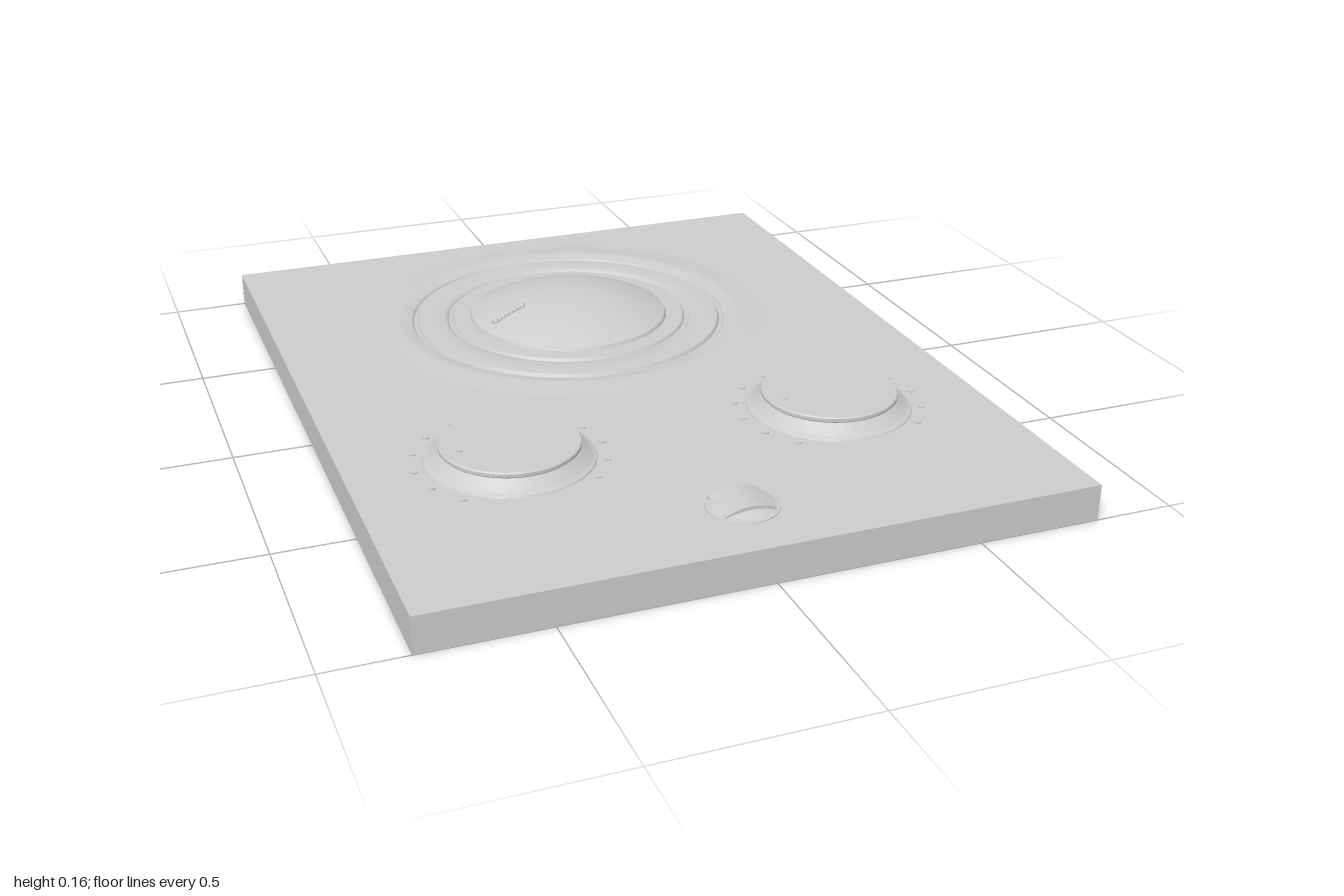
import * as THREE from 'three';
import { toCreasedNormals } from 'three/addons/utils/BufferGeometryUtils.js';

const W = 1.61, L = 2, H = 0.09;      // panel size
const DIAL_Z = -0.385;                // centre of the large dial

export function createModel() {
  const model = new THREE.Group();
  const grey = new THREE.MeshStandardMaterial({ color: 0xcccccc });
  grey.name = 'plainGrey';

  const add = (name, geometry, x = 0, y = 0, z = 0, parent = model) => {
    const mesh = new THREE.Mesh(geometry, grey);
    mesh.name = name;
    mesh.position.set(x, y, z);
    parent.add(mesh);
    return mesh;
  };
  // Profiles run from the outside inwards for surfaces that face up
  const lathe = (points, segments = 64) => toCreasedNormals(
    new THREE.LatheGeometry(points.map(([r, y]) => new THREE.Vector2(r, y)), segments), 0.6);
  const dome = (radius, base, rise, steps = 12) => {
    const R = (radius * radius + rise * rise) / (2 * rise);
    return Array.from({ length: steps + 1 }, (_, i) => {
      const r = radius * (1 - i / steps);
      return [r, base + rise - R + Math.sqrt(R * R - r * r)];
    });
  };

  // Panel: top and bottom sheets with round openings, and four sides
  const sheet = (holeRadius, holeY) => {
    const shape = new THREE.Shape([
      new THREE.Vector2(-W / 2, -L / 2), new THREE.Vector2(W / 2, -L / 2),
      new THREE.Vector2(W / 2, L / 2), new THREE.Vector2(-W / 2, L / 2)]);
    shape.holes.push(new THREE.Path().absarc(0, holeY, holeRadius, 0, Math.PI * 2, true));
    return new THREE.ShapeGeometry(shape, 32);
  };
  add('panelTop', sheet(0.55, -DIAL_Z).rotateX(-Math.PI / 2), 0, H, 0);
  add('panelBottom', sheet(0.32, DIAL_Z).rotateX(Math.PI / 2));
  for (let i = 0; i < 4; i++) {
    const [width, depth] = i % 2 ? [L, W] : [W, L];
    const side = new THREE.PlaneGeometry(width, H).translate(0, H / 2, depth / 2);
    add('panelSide', side.rotateY(i * Math.PI / 2));
  }

  // Shallow recess under the dial
  add('undersideRecess', lathe([
    [0, 0.03], [0.18, 0.03], [0.2, 0.024], [0.225, 0.012], [0.26, 0.004], [0.32, 0],
  ]), 0, 0, DIAL_Z);

  // Large dial: soft swell, dished ring with two grooves, domed cap
  const dial = new THREE.Group();
  dial.name = 'largeDial';
  dial.position.z = DIAL_Z;
  model.add(dial);
  add('dialSurround', lathe([
    [0.55, H], [0.5, 0.093], [0.475, 0.097], [0.458, 0.096], [0.433, 0.089],
    [0.429, 0.084], [0.419, 0.084], [0.414, 0.092], [0.39, 0.094], [0.345, 0.094],
    [0.338, 0.092], [0.333, 0.086], [0.323, 0.086], [0.318, 0.093], [0.285, 0.095],
    [0.272, 0.094], [0.268, 0.102],
  ], 96), 0, 0, 0, dial);
  add('dialCap', lathe(dome(0.268, 0.102, 0.061), 96), 0, 0, 0, dial);

  // Ribbed pointer mark following the dome
  for (let i = 0; i < 8; i++) {
    const t = i / 7;
    const x = -0.225 + 0.08 * t, z = 0.05 - 0.02 * t;
    const y = 0.163 - (x * x + z * z) / 1.21;
    add('dialPointer', new THREE.SphereGeometry(0.011, 10, 6), x, y, z, dial);
  }

  // Two small knobs with scale dots
  for (const side of [-1, 1]) {
    const knob = new THREE.Group();
    knob.name = side > 0 ? 'leftKnob' : 'rightKnob';
    knob.position.set(side * 0.413, 0, 0.402);
    model.add(knob);
    add('knobBody', lathe([
      [0.205, H], [0.203, 0.094], [0.195, 0.097], [0.183, 0.105], [0.172, 0.116],
      [0.166, 0.121], [0.169, 0.124], [0.169, 0.132], [0.166, 0.135], [0, 0.135],
    ]), 0, 0, 0, knob);
    add('knobMark', new THREE.CylinderGeometry(0.007, 0.007, 0.004, 12), -0.126, 0.1355, 0.015, knob);
    for (let i = 0; i < 6; i++) {
      const a = (21 + i * 23) * Math.PI / 180;
      for (const s of [-1, 1]) {
        add('scaleDot', new THREE.CylinderGeometry(0.008, 0.008, 0.004, 10),
          s * 0.23 * Math.sin(a), H + 0.001, -0.23 * Math.cos(a), knob);
      }
    }
  }

  // Rocker switch: low round base with a curved square cap
  add('switchBase', lathe([[0.085, H], [0.084, 0.093], ...dome(0.081, 0.093, 0.02, 8)], 40), 0, 0, 0.808);
  const cap = new THREE.BoxGeometry(0.122, 0.02, 0.106, 10, 1, 1);
  const p = cap.attributes.position;
  for (let i = 0; i < p.count; i++) {
    const top = p.getY(i) > 0;
    p.setY(i, top ? 0.115 - 0.016 * (p.getX(i) / 0.061) ** 2 : H);
  }
  add('switchCap', toCreasedNormals(cap, 0.6), 0, 0, 0.805);

  return model;
}
